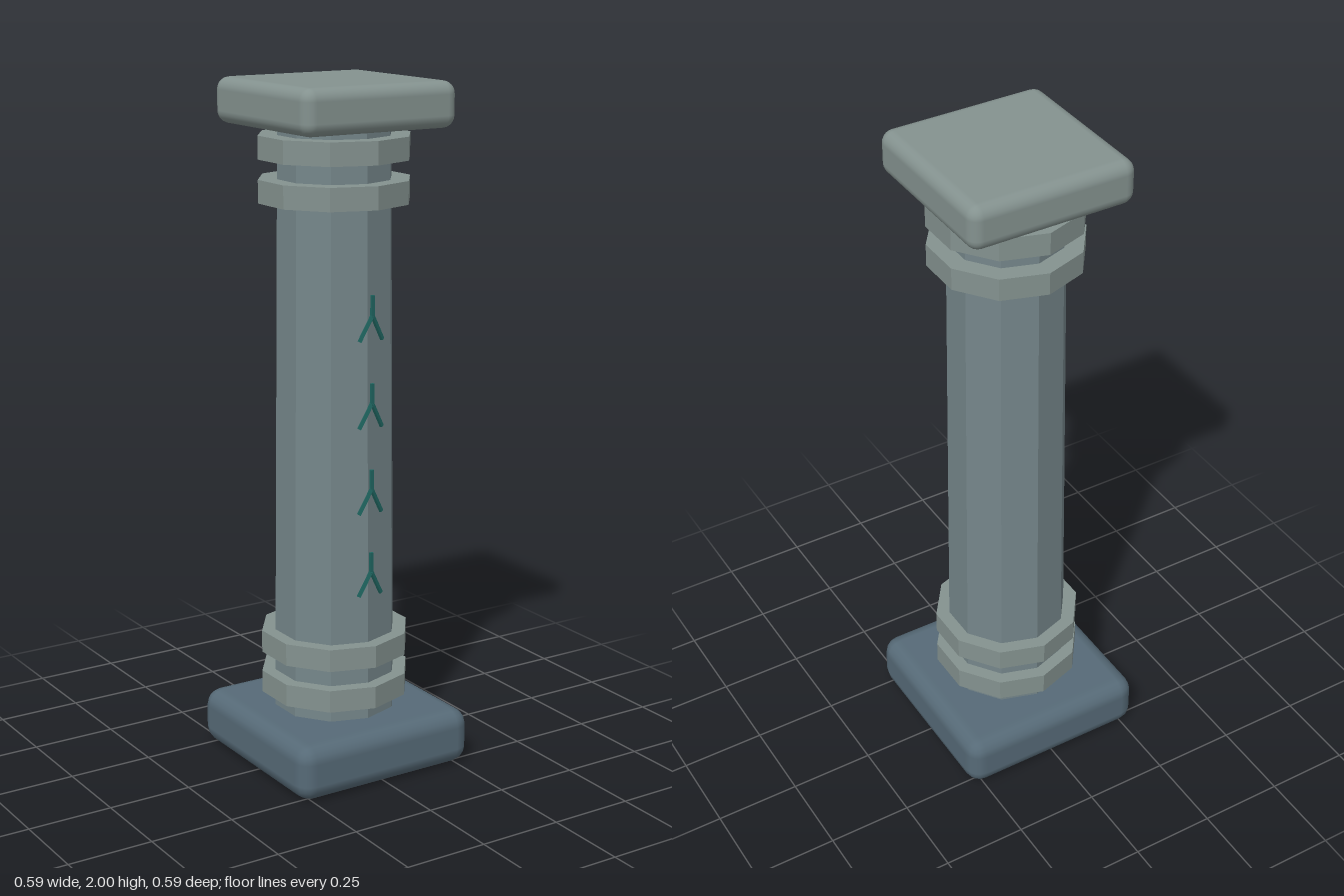
import * as THREE from 'three';
import { RoundedBoxGeometry } from 'three/addons/geometries/RoundedBoxGeometry.js';

const SIDES = 10;

export function createModel() {
  const pillar = new THREE.Group();
  pillar.name = 'pillar';

  const material = (color, flatShading = false) => new THREE.MeshStandardMaterial({ color, flatShading });
  const baseStone = material(0x566a77);
  const capStone = material(0x84928f);
  const shaftStone = material(0x75868a, true);
  const bandStone = material(0x84928f, true);
  const carving = material(0x1f6560, true);

  const add = (name, geometry, mat, y, parent = pillar) => {
    const mesh = new THREE.Mesh(geometry, mat);
    mesh.name = name;
    mesh.position.y = y;
    parent.add(mesh);
    return mesh;
  };

  // Square plinth and capital with rounded edges
  add('base', new RoundedBoxGeometry(0.586, 0.166, 0.586, 2, 0.05), baseStone, 0.083);
  add('capital', new RoundedBoxGeometry(0.496, 0.13, 0.496, 3, 0.036), capStone, 1.935);

  // Tapered ten-sided shaft with a corner facing front
  add('shaft', new THREE.CylinderGeometry(0.164, 0.182, 1.74, SIDES), shaftStone, 1.01);

  // Pairs of collars near both ends
  for (const y of [0.243, 0.368, 1.693, 1.815]) {
    add('collar', new THREE.CylinderGeometry(0.22, 0.22, 0.066, SIDES), bandStone, y);
  }

  // Forked marks up the front: a stem and two arms that follow the shaft's faces
  const fork = new THREE.Vector3(0, 0, 0.194);
  const tips = [
    new THREE.Vector3(0, 0.057, 0.195),
    new THREE.Vector3(0.038, -0.072, 0.187),
    new THREE.Vector3(-0.038, -0.072, 0.187),
  ];
  const up = new THREE.Vector3(0, 1, 0);
  for (const y of [0.62, 0.865, 1.115, 1.365]) {
    const mark = new THREE.Group();
    mark.name = 'carvedMark';
    mark.position.y = y;
    for (const tip of tips) {
      const direction = tip.clone().sub(fork);
      const stroke = add('stroke', new THREE.BoxGeometry(0.01, direction.length(), 0.008), carving, 0, mark);
      stroke.position.copy(fork).add(tip).multiplyScalar(0.5);
      stroke.quaternion.setFromUnitVectors(up, direction.normalize());
    }
    pillar.add(mark);
  }

  return pillar;
}
